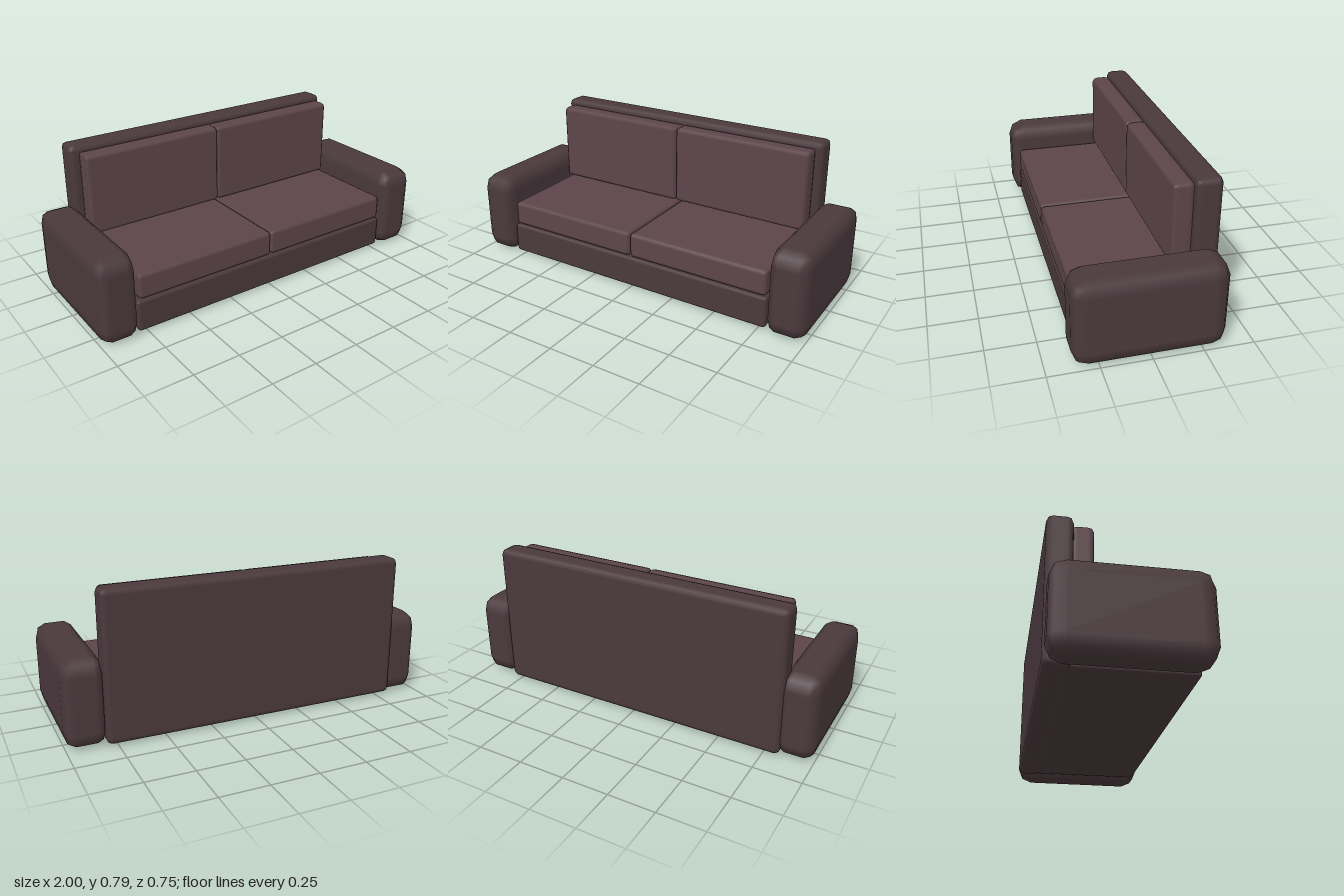
import * as THREE from 'three';
import { RoundedBoxGeometry } from 'three/addons/geometries/RoundedBoxGeometry.js';

const frameMaterial = new THREE.MeshStandardMaterial({ color: 0x4a393d });
const cushionMaterial = new THREE.MeshStandardMaterial({ color: 0x5c454b });

// Two-step bevelled block between [min, max] ranges, with its own bevel size per axis
function block(name, material, [x0, x1], [y0, y1], [z0, z1], [rx, ry, rz]) {
  const geometry = new RoundedBoxGeometry((x1 - x0) / rx, (y1 - y0) / ry, (z1 - z0) / rz, 1, 1);
  geometry.scale(rx, ry, rz);
  const mesh = new THREE.Mesh(geometry, material);
  mesh.name = name;
  mesh.position.set((x0 + x1) / 2, (y0 + y1) / 2, (z0 + z1) / 2);
  return mesh;
}

export function createModel() {
  const sofa = new THREE.Group();
  sofa.name = 'sofa';

  // Frame: base, backrest and two chunky arms
  sofa.add(block('base', frameMaterial, [-0.8, 0.79], [0.012, 0.18], [-0.3, 0.34], [0.015, 0.015, 0.015]));
  sofa.add(block('backrest', frameMaterial, [-0.833, 0.805], [0.007, 0.787], [-0.376, -0.244], [0.03, 0.03, 0.032]));
  const arm = [[0, 0.457], [-0.368, 0.377], [0.05, 0.082, 0.078]];
  sofa.add(block('rightArm', frameMaterial, [-1, -0.803], ...arm));
  sofa.add(block('leftArm', frameMaterial, [0.795, 1], ...arm));

  // Two seat cushions and two back cushions
  for (const [side, i] of [['right', 0], ['left', 1]]) {
    const seatX = -0.785 + i * 0.787;
    sofa.add(block(side + 'SeatCushion', cushionMaterial,
      [seatX, seatX + 0.78], [0.185, 0.32], [-0.25, 0.338], [0.015, 0.02, 0.02]));
    const backX = -0.79 + i * 0.78;
    sofa.add(block(side + 'BackCushion', cushionMaterial,
      [backX, backX + 0.778], [0.328, 0.762], [-0.25, -0.145], [0.015, 0.022, 0.028]));
  }
  return sofa;
}
